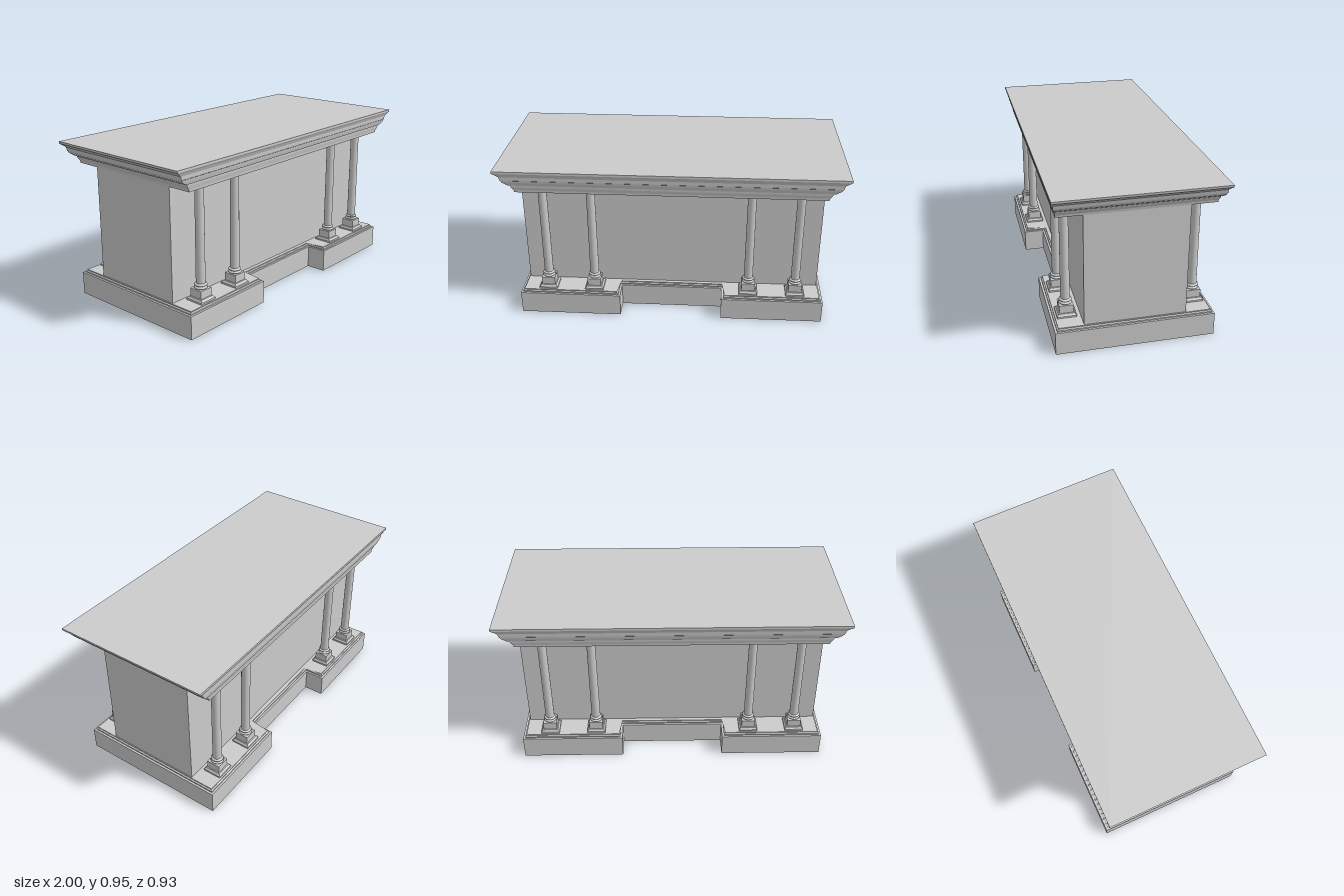
import * as THREE from 'three';

const material = new THREE.MeshStandardMaterial({ color: 0xcccccc, side: THREE.DoubleSide });

// Skin a stack of rings (points [x, y, z], counterclockwise from above), with an optional convex cap
function loft(name, rings, cap = false) {
  const pos = [];
  const n = rings[0].length;
  for (let j = 0; j < rings.length - 1; j++) {
    for (let i = 0; i < n; i++) {
      const k = (i + 1) % n;
      const a = rings[j][i], b = rings[j][k], c = rings[j + 1][k], d = rings[j + 1][i];
      pos.push(...a, ...b, ...c, ...a, ...c, ...d);
    }
  }
  const top = rings[rings.length - 1];
  if (cap) for (let i = 1; i < n - 1; i++) pos.push(...top[0], ...top[i], ...top[i + 1]);
  const geometry = new THREE.BufferGeometry();
  geometry.setAttribute('position', new THREE.Float32BufferAttribute(pos, 3));
  geometry.computeVertexNormals();
  const mesh = new THREE.Mesh(geometry, material);
  mesh.name = name;
  return mesh;
}

const rect = (hx, hz, y) => [[hx, y, hz], [hx, y, -hz], [-hx, y, -hz], [-hx, y, hz]];

const BODY_X = 0.885, BODY_Z = 0.288, STEP_TOP = 0.153, SOFFIT = 0.81;

// Base outline with a recess in the middle of front and back, inset by d
function baseRing(d, y) {
  const X = 0.91 - d, Z = 0.45 - d, rx = 0.305 + d, rz = 0.33 - d;
  return [[X, Z], [X, -Z], [rx, -Z], [rx, -rz], [-rx, -rz], [-rx, -Z],
    [-X, -Z], [-X, Z], [-rx, Z], [-rx, rz], [rx, rz], [rx, Z]].map(([x, z]) => [x, y, z]);
}

// The same ring pulled in to the walls of the body
const innerRing = (y) => baseRing(0, y).map(([x, , z]) => [
  THREE.MathUtils.clamp(x, -BODY_X, BODY_X), y, Math.sign(z) * BODY_Z]);

function createColumn() {
  const column = new THREE.Group();
  column.name = 'column';

  // Square moulded plinth
  const plinth = [[0.055, STEP_TOP], [0.055, 0.163], [0.05, 0.167], [0.046, 0.175],
    [0.04, 0.176], [0.04, 0.222]];
  column.add(loft('plinth', plinth.map(([h, y]) => rect(h, h, y)), true));

  // Round base: two rolls with a hollow between
  const profile = [[0.03, 0.222]];
  const roll = (r, y, t) => {
    for (let i = 0; i <= 6; i++) {
      const a = -Math.PI / 2 + (i / 6) * Math.PI;
      profile.push([r + t * Math.cos(a), y + t * Math.sin(a)]);
    }
  };
  roll(0.032, 0.229, 0.006);
  profile.push([0.029, 0.237]);
  roll(0.03, 0.245, 0.006);
  profile.push([0.0265, 0.253]);
  const base = new THREE.Mesh(
    new THREE.LatheGeometry(profile.map(([x, y]) => new THREE.Vector2(x, y)), 24), material);
  base.name = 'columnBase';
  column.add(base);

  // Shaft with a very slight taper
  const shaft = new THREE.Mesh(
    new THREE.CylinderGeometry(0.025, 0.0265, SOFFIT - 0.25, 24, 1, true), material);
  shaft.position.y = (SOFFIT + 0.25) / 2;
  shaft.name = 'shaft';
  column.add(shaft);
  return column;
}

export function createModel() {
  const model = new THREE.Group();
  model.name = 'counter';

  // Hollow base with two small steps up to the body
  model.add(loft('base', [baseRing(0, 0), baseRing(0, 0.135), baseRing(0.012, 0.135),
    baseRing(0.012, 0.143), baseRing(0.02, 0.147), baseRing(0.02, STEP_TOP), innerRing(STEP_TOP)]));

  // Body walls, open underneath
  model.add(loft('body', [rect(BODY_X, BODY_Z, STEP_TOP), rect(BODY_X, BODY_Z, SOFFIT)]));

  // Soffit, moulded cornice and flat top: half width, half depth, height
  const cornice = [[BODY_X, BODY_Z, SOFFIT], [0.887, 0.432, SOFFIT], [0.89, 0.433, 0.824],
    [0.903, 0.437, 0.842], [0.908, 0.438, 0.855], [0.919, 0.444, 0.857], [0.948, 0.449, 0.876],
    [0.956, 0.451, 0.888], [0.958, 0.453, 0.89], [0.964, 0.454, 0.912], [0.985, 0.461, 0.928],
    [0.998, 0.467, 0.937], [1, 0.467, 0.95]];
  model.add(loft('cornice', cornice.map((p) => rect(...p)), true));

  // Pairs of columns on all four corner blocks
  for (const x of [-0.745, -0.465, 0.465, 0.745]) {
    for (const z of [-0.365, 0.365]) {
      const column = createColumn();
      column.position.set(x, 0, z);
      model.add(column);
    }
  }
  return model;
}
